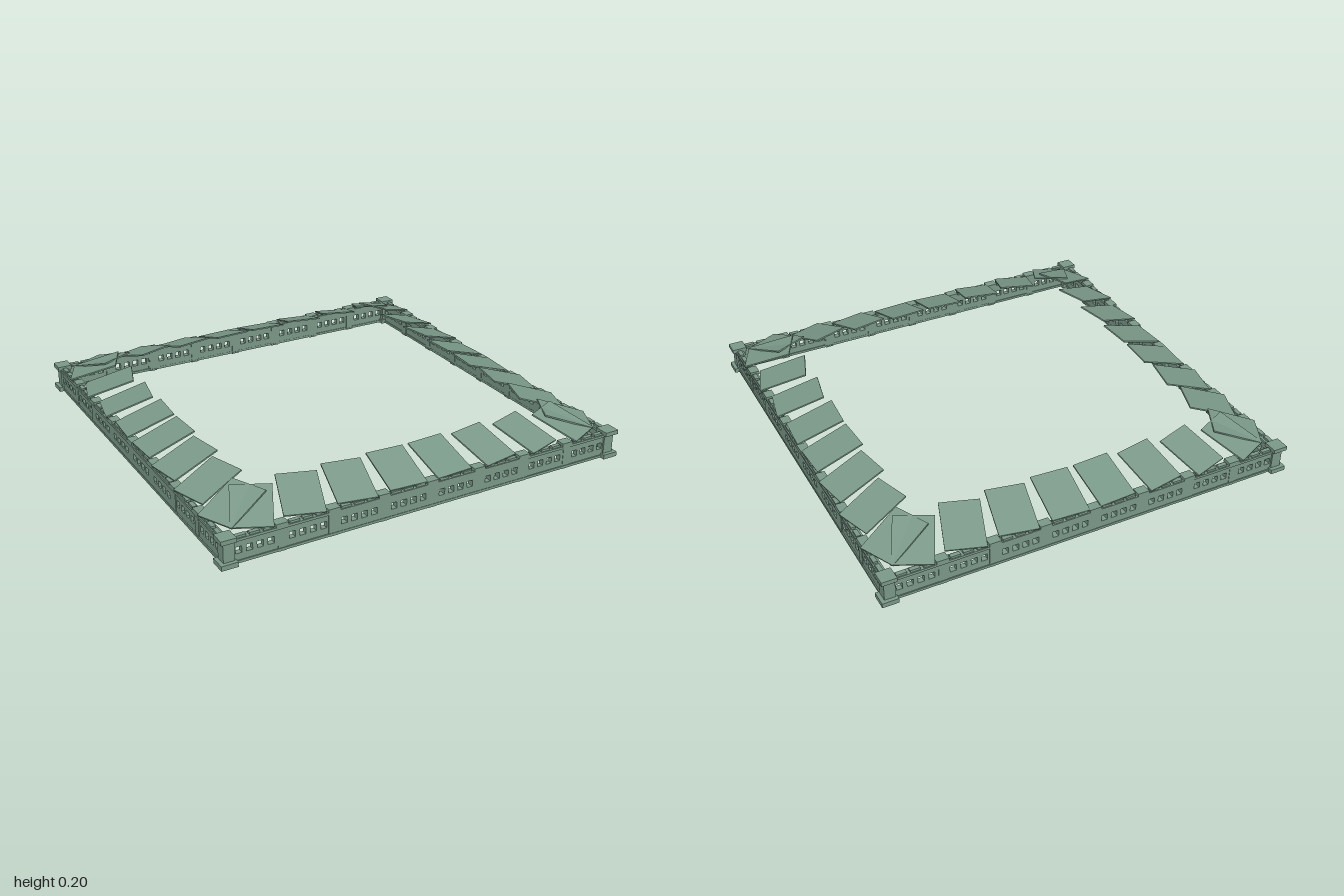
import * as THREE from 'three';

const green = new THREE.MeshStandardMaterial({ color: 0x7a9888 });
green.name = 'sage green';

function box(parent, name, w, h, d, x, y, z) {
  const m = new THREE.Mesh(new THREE.BoxGeometry(w, h, d), green);
  m.name = name;
  m.position.set(x, y, z);
  parent.add(m);
  return m;
}

const BAY = 0.24;

// Pierced wall running from x0 to x1, four windows per bay
function wallSection(parent, x0, x1, depth, z) {
  const s = new THREE.Shape();
  s.moveTo(x0, 0.004).lineTo(x1, 0.004).lineTo(x1, 0.115).lineTo(x0, 0.115).closePath();
  for (let bay = -4; bay < 4; bay++) {
    for (let k = 0; k < 4; k++) {
      const x = (bay + 0.5) * BAY + (k - 1.5) * 0.048;
      if (x - 0.016 < x0 || x + 0.016 > x1) continue;
      const hole = new THREE.Path();
      hole.moveTo(x - 0.014, 0.045).lineTo(x - 0.014, 0.075)
        .lineTo(x + 0.014, 0.075).lineTo(x + 0.014, 0.045).closePath();
      s.holes.push(hole);
    }
  }
  const m = new THREE.Mesh(new THREE.ExtrudeGeometry(s, { depth, bevelEnabled: false }), green);
  m.name = 'windowWall';
  m.position.z = z;
  parent.add(m);
}

// One side of the square, facing +z
function buildSide() {
  const side = new THREE.Group();
  side.name = 'side';

  wallSection(side, -0.95, -0.505, 0.025, 0.95);
  wallSection(side, -0.505, 0.505, 0.031, 0.947);
  wallSection(side, 0.505, 0.95, 0.025, 0.95);
  box(side, 'baseRail', 1.9, 0.012, 0.034, 0, 0.008, 0.963);
  box(side, 'topRail', 1.9, 0.012, 0.036, 0, 0.109, 0.963);

  // Posts with capitals at the bay lines
  for (let i = -3; i <= 3; i++) {
    const x = i * BAY;
    box(side, 'post', 0.036, 0.118, 0.032, x, 0.061, 0.961);
    box(side, 'postCap', 0.056, 0.016, 0.044, x, 0.121, 0.96);
    box(side, 'postFoot', 0.04, 0.008, 0.036, x, 0.004, 0.961);
  }

  // Low blocks along the parapet
  for (let bay = -4; bay < 4; bay++) {
    for (let k = -1; k <= 1; k++) {
      box(side, 'parapetBlock', 0.045, 0.012, 0.02, (bay + 0.5) * BAY + k * 0.06, 0.119, 0.966);
    }
  }

  // Slanted panels rising towards the middle, fanned along the side
  [0.11, 0.342, 0.57, 0.792].forEach((x, i) => {
    for (const sgn of [-1, 1]) {
      const panel = box(side, 'slantedPanel', 0.178, 0.007, 0.236, sgn * x, 0.163, [0.86, 0.86, 0.855, 0.85][i]);
      panel.rotation.order = 'YXZ';
      panel.rotation.set(0.305, sgn * [0.058, 0.19, 0.32, 0.445][i], 0);
    }
  });

  // Corner post with spreading foot and cap
  box(side, 'cornerPost', 0.05, 0.13, 0.05, 0.958, 0.065, 0.958);
  box(side, 'cornerFoot', 0.075, 0.022, 0.075, 0.9625, 0.011, 0.9625);
  box(side, 'cornerCap', 0.07, 0.02, 0.07, 0.9625, 0.122, 0.9625);
  return side;
}

export function createModel() {
  const model = new THREE.Group();
  model.name = 'squareEnclosure';
  for (let i = 0; i < 4; i++) {
    const side = buildSide();
    side.name = ['frontSide', 'leftSide', 'backSide', 'rightSide'][i];
    side.rotation.y = i * Math.PI / 2;
    model.add(side);
  }
  return model;
}
